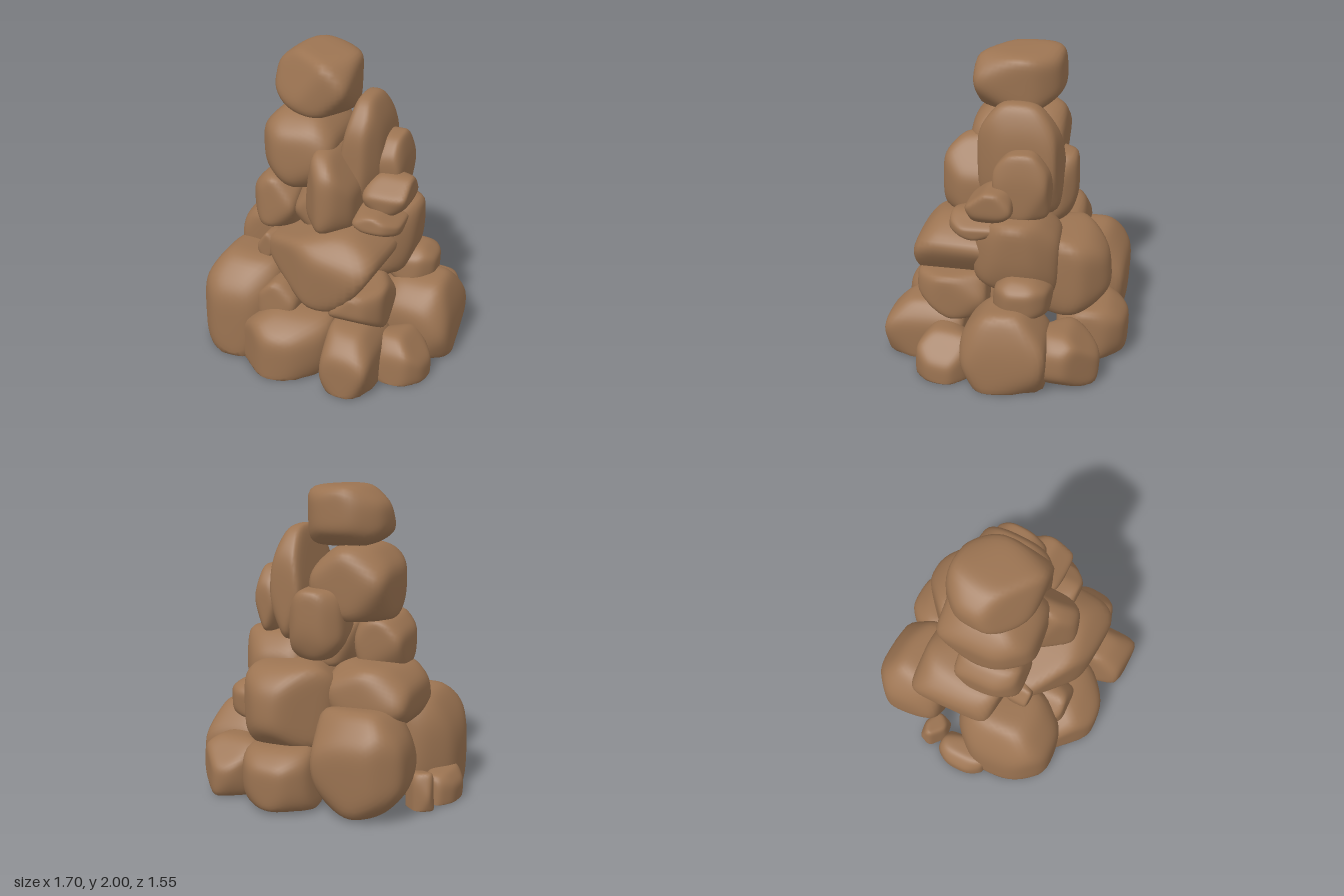
import * as THREE from 'three';
import { mergeVertices } from 'three/addons/utils/BufferGeometryUtils.js';

const stone = new THREE.MeshStandardMaterial({ color: 0x9c7452 });
stone.name = 'brown stone';

const { Vector3 } = THREE;
const sides = {
  right: new Vector3(1, 0, 0), left: new Vector3(-1, 0, 0),
  up: new Vector3(0, 1, 0), down: new Vector3(0, -1, 0),
  front: new Vector3(0, 0, 1), back: new Vector3(0, 0, -1),
};

function seeded(seed) {
  let s = seed * 7919 + 17;
  return () => (s = (s * 16807) % 2147483647) / 2147483647;
}

// A direction from words: 'left up' is a bevel, 'left left up' a steeper one
function direction(words) {
  return words.split(' ').reduce((v, word) => v.add(sides[word]), new Vector3()).normalize();
}

// Unit sphere with shared vertices
function ball() {
  const geo = new THREE.IcosahedronGeometry(1, 10);
  geo.deleteAttribute('normal');
  geo.deleteAttribute('uv');
  return mergeVertices(geo, 1e-4);
}

// A rounded polyhedron: soft intersection of six tilted faces, eight worn
// corners, soft and deep bevels, sized to the given ranges in x, y and z.
function rock(name, xs, ys, zs, soft = [], deep = []) {
  const rand = seeded([...name].reduce((sum, c) => sum + c.charCodeAt(0), 0));
  for (let i = 0; i < 8; i++) rand();
  const wobble = (size) => new Vector3(rand() - 0.5, rand() - 0.5, rand() - 0.5).multiplyScalar(size);
  const planes = [];
  const cut = (n, h) => planes.push({ n: n.normalize(), h });
  Object.values(sides).forEach((n) => cut(n.clone().add(wobble(0.16)), 1));
  for (const x of [-1, 1]) for (const y of [-1, 1]) for (const z of [-1, 1]) {
    cut(new Vector3(x, y, z).add(wobble(0.9)), 1.14 + rand() * 0.14);
  }
  soft.forEach((words) => cut(direction(words), 1.04));
  deep.forEach((words) => cut(direction(words), 0.76));

  const geo = ball();
  const pos = geo.attributes.position;
  const d = new Vector3();
  const power = 12;
  for (let i = 0; i < pos.count; i++) {
    d.fromBufferAttribute(pos, i).normalize();
    const sum = planes.reduce((t, { n, h }) => t + Math.max(0, n.dot(d) / h) ** power, 0);
    d.multiplyScalar(sum ** (-1 / power));
    pos.setXYZ(i, d.x, d.y, d.z);
  }

  // Size the stone; anything below ground is cut flat
  geo.computeBoundingBox();
  const { min, max } = geo.boundingBox;
  const { mapLinear } = THREE.MathUtils;
  for (let i = 0; i < pos.count; i++) {
    pos.setXYZ(
      i,
      mapLinear(pos.getX(i), min.x, max.x, ...xs),
      Math.max(0, mapLinear(pos.getY(i), min.y, max.y, ...ys)),
      mapLinear(pos.getZ(i), min.z, max.z, ...zs)
    );
  }
  geo.computeVertexNormals();
  const mesh = new THREE.Mesh(geo, stone);
  mesh.name = name;
  return mesh;
}

// A stone sunk slightly into the ground
function sunkRock(name, xs, height, zs, soft, deep) {
  return rock(name, xs, [-0.09, height], zs, soft, deep);
}

function summit() {
  const g = new THREE.Group();
  g.name = 'summit';
  g.add(rock('topStone', [-0.39, 0.17], [1.6, 2], [-0.29, 0.26],
    ['left up', 'left down', 'left back', 'right back', 'back down', 'left front'],
    ['left left front front front up']));
  g.add(rock('upperBlock', [-0.44, 0.09], [1.12, 1.63], [-0.3, 0.33],
    ['right up', 'left front', 'left up', 'up front']));
  g.add(rock('tallSlab', [0.09, 0.35], [1, 1.73], [-0.34, 0.2],
    ['up front', 'up back', 'right front', 'right up'], ['left left up']));
  g.add(rock('sideSlab', [0.3, 0.47], [1.03, 1.47], [-0.3, 0.07],
    ['up front', 'up back', 'down front', 'right right up']));
  g.add(rock('wedgeStone', [-0.1, 0.26], [0.92, 1.45], [-0.02, 0.46],
    ['right front', 'up front'], ['right up', 'left left left up', 'left front']));
  g.add(rock('rearUpperStone', [-0.18, 0.2], [0.88, 1.37], [-0.41, -0.05],
    ['right up', 'left down', 'back back down', 'left back', 'right back']));
  return g;
}

function middleRing() {
  const g = new THREE.Group();
  g.name = 'middleRing';
  g.add(rock('smallSideStone', [0.26, 0.56], [1.01, 1.25], [-0.08, 0.22],
    ['right down', 'left up', 'down back'], ['up front']));
  g.add(rock('flatStone', [0.24, 0.54], [0.9, 1.06], [0, 0.34],
    ['down front', 'right front', 'left back'], ['right up', 'left down']));
  g.add(rock('leftUpperStone', [-0.5, -0.16], [0.81, 1.18], [-0.15, 0.3],
    ['left up', 'left front']));
  g.add(rock('innerStone', [-0.2, 0.12], [0.84, 1.14], [-0.25, 0.28]));
  g.add(rock('rightMiddleBoulder', [0.08, 0.58], [0.52, 1.07], [-0.36, 0.2],
    ['up front', 'up back', 'right right down', 'right front', 'right back']));
  g.add(rock('leftMiddleBoulder', [-0.64, -0.08], [0.45, 0.9], [-0.42, 0.2],
    ['left up', 'back down', 'left down']));
  g.add(rock('rearMiddleBoulder', [-0.18, 0.42], [0.34, 0.91], [-0.66, -0.1],
    ['up back', 'right back', 'down back'], ['left back']));
  g.add(rock('frontMiddleBoulder', [-0.36, 0.49], [0.42, 0.96], [0.02, 0.6],
    ['up front', 'right up'], ['left up up', 'left down', 'right right down', 'left front']));
  g.add(rock('chipStone', [-0.4, -0.26], [0.62, 0.82], [0.18, 0.36],
    [], ['left up', 'right down']));
  g.add(rock('frontWedge', [0.17, 0.51], [0.3, 0.62], [0.1, 0.58],
    ['right front'], ['left up', 'left down down', 'front down']));
  g.add(rock('frontFillStone', [-0.37, -0.04], [0.24, 0.58], [0.25, 0.58],
    ['right up', 'right down', 'left front'], ['left up']));
  g.add(rock('rightFillStone', [0.36, 0.68], [0.44, 0.7], [-0.33, 0.04],
    ['right up', 'up front', 'up back', 'right front', 'right back']));
  return g;
}

function baseRing() {
  const g = new THREE.Group();
  g.name = 'baseRing';
  g.add(sunkRock('leftBoulder', [-0.77, -0.2], 0.67, [-0.06, 0.62],
    ['left left up', 'left up', 'right front', 'left front', 'left back', 'up front'],
    ['right right down']));
  g.add(sunkRock('frontBaseStone', [-0.54, 0.2], 0.42, [0.1, 0.77],
    ['right front', 'up front'], ['left up', 'left front']));
  g.add(sunkRock('frontRightBaseStone', [0.18, 0.53], 0.41, [0.25, 0.78],
    ['right up', 'up front']));
  g.add(sunkRock('rightFrontStone', [0.44, 0.79], 0.3, [0.16, 0.52],
    ['right front', 'up front', 'right back'], ['right up']));
  g.add(sunkRock('rightBoulder', [0.36, 0.85], 0.53, [-0.35, 0.21],
    ['right right up', 'up front', 'up back']));
  g.add(rock('rightRearStone', [0.34, 0.75], [0, 0.37], [-0.65, -0.24],
    ['right up', 'left back', 'right down'], ['up back', 'right back']));
  g.add(rock('rearBaseStone', [-0.13, 0.37], [0, 0.4], [-0.77, -0.3],
    ['left back', 'right back', 'up back']));
  g.add(rock('leftRearBoulder', [-0.71, -0.11], [0, 0.67], [-0.7, -0.2],
    ['left back', 'up back', 'left up', 'left down']));
  g.add(sunkRock('leftChip', [-0.85, -0.62], 0.19, [-0.13, 0.23],
    ['left up', 'left back', 'left front']));
  g.add(sunkRock('leftSliver', [-0.78, -0.58], 0.24, [-0.28, -0.12],
    [], ['left front', 'right back']));
  return g;
}

export function createModel() {
  const group = new THREE.Group();
  group.name = 'rockPile';
  group.add(summit(), middleRing(), baseRing());
  return group;
}
